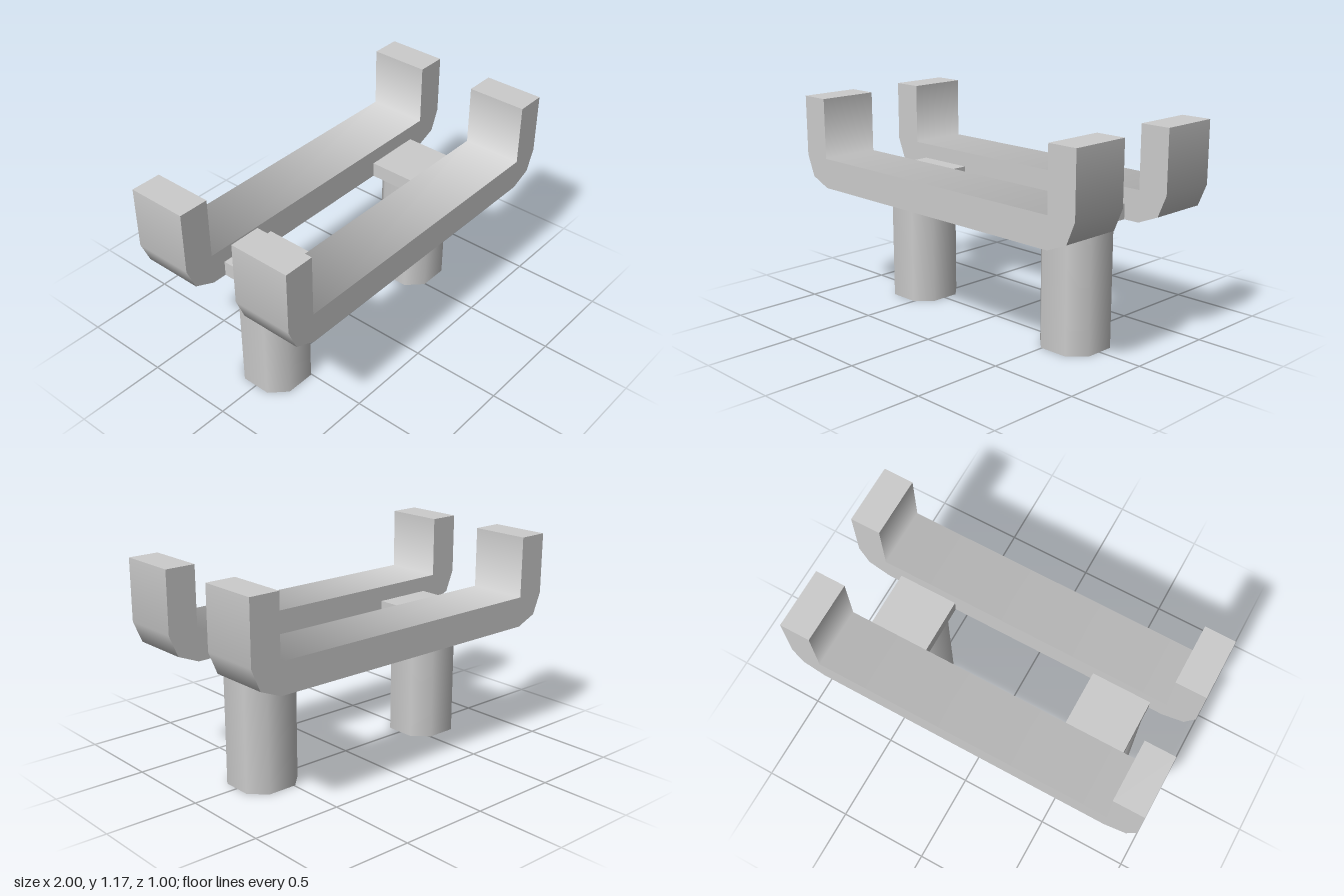
import * as THREE from 'three';
import { mergeGeometries } from 'three/addons/utils/BufferGeometryUtils.js';

// Wall along z over a line of [x, y] points (counter-clockwise), with normals averaged at each bend
function wall(points, depth, closed = false) {
  const pos = [], nor = [], uv = [], index = [];
  const n = points.length;
  const edgeNormal = (i) => {
    const a = points[(i + n) % n], b = points[(i + 1 + n) % n];
    return new THREE.Vector2(b[1] - a[1], a[0] - b[0]).normalize();
  };
  points.forEach(([x, y], i) => {
    const v = new THREE.Vector2();
    if (closed || i > 0) v.add(edgeNormal(i - 1));
    if (closed || i < n - 1) v.add(edgeNormal(i));
    v.normalize();
    for (const z of [-depth / 2, depth / 2]) {
      pos.push(x, y, z);
      nor.push(v.x, v.y, 0);
      uv.push(i / n, z > 0 ? 1 : 0);
    }
    if (closed || i < n - 1) {
      const a = 2 * i, b = 2 * ((i + 1) % n);
      index.push(a, b, b + 1, a, b + 1, a + 1);
    }
  });
  const g = new THREE.BufferGeometry();
  g.setAttribute('position', new THREE.Float32BufferAttribute(pos, 3));
  g.setAttribute('normal', new THREE.Float32BufferAttribute(nor, 3));
  g.setAttribute('uv', new THREE.Float32BufferAttribute(uv, 2));
  g.setIndex(index);
  return g;
}

// Flat faces closing both ends of a prism
function caps(points, depth) {
  const shape = new THREE.Shape(points.map(([x, y]) => new THREE.Vector2(x, y)));
  return [
    new THREE.ShapeGeometry(shape).translate(0, 0, depth / 2),
    new THREE.ShapeGeometry(new THREE.Shape(points.map(([x, y]) => new THREE.Vector2(-x, y))))
      .rotateY(Math.PI).translate(0, 0, -depth / 2),
  ];
}

export function createModel() {
  const group = new THREE.Group();
  const material = new THREE.MeshStandardMaterial({ color: 0xcccccc });
  const add = (name, geometry, x, y, z) => {
    const mesh = new THREE.Mesh(geometry, material);
    mesh.name = name;
    mesh.position.set(x, y, z);
    group.add(mesh);
  };

  const T = 1 / 6, W = 1 / 3, LOW = 0.667, TOP = 1.167;
  const end = 1 - T, floor = LOW + T;

  // U-shaped cradle rails with bevelled outer corners
  const outer = [[-1, TOP], [-1, floor], [-0.951, 0.716], [-end, LOW],
    [end, LOW], [0.951, 0.716], [1, floor], [1, TOP]];
  const inner = [[end, TOP], [end, floor], [-end, floor], [-end, TOP]];
  const rail = mergeGeometries([
    wall(outer, W),
    wall(inner, W),
    wall([[1, TOP], [end, TOP]], W),
    wall([[-end, TOP], [-1, TOP]], W),
    ...caps([...outer, ...inner], W),
  ]);
  add('frontRail', rail, 0, 0, W);
  add('backRail', rail, 0, 0, -W);

  // Eight-sided legs and the short bars joining the rails above them
  const r = T, c = T / 2;
  const octagon = [[r, -c], [r, c], [c, r], [-c, r], [-r, c], [-r, -c], [-c, -r], [c, -r]];
  const leg = mergeGeometries([wall(octagon, LOW, true), ...caps(octagon, LOW)]).rotateX(-Math.PI / 2);
  const bar = new THREE.BoxGeometry(W, T / 2, W);
  for (const [side, x] of [['right', -0.587], ['left', 0.578]]) {
    add(side + 'Leg', leg, x, LOW / 2, 0);
    add(side + 'CrossBar', bar, x, LOW + T / 4, 0);
  }
  return group;
}
